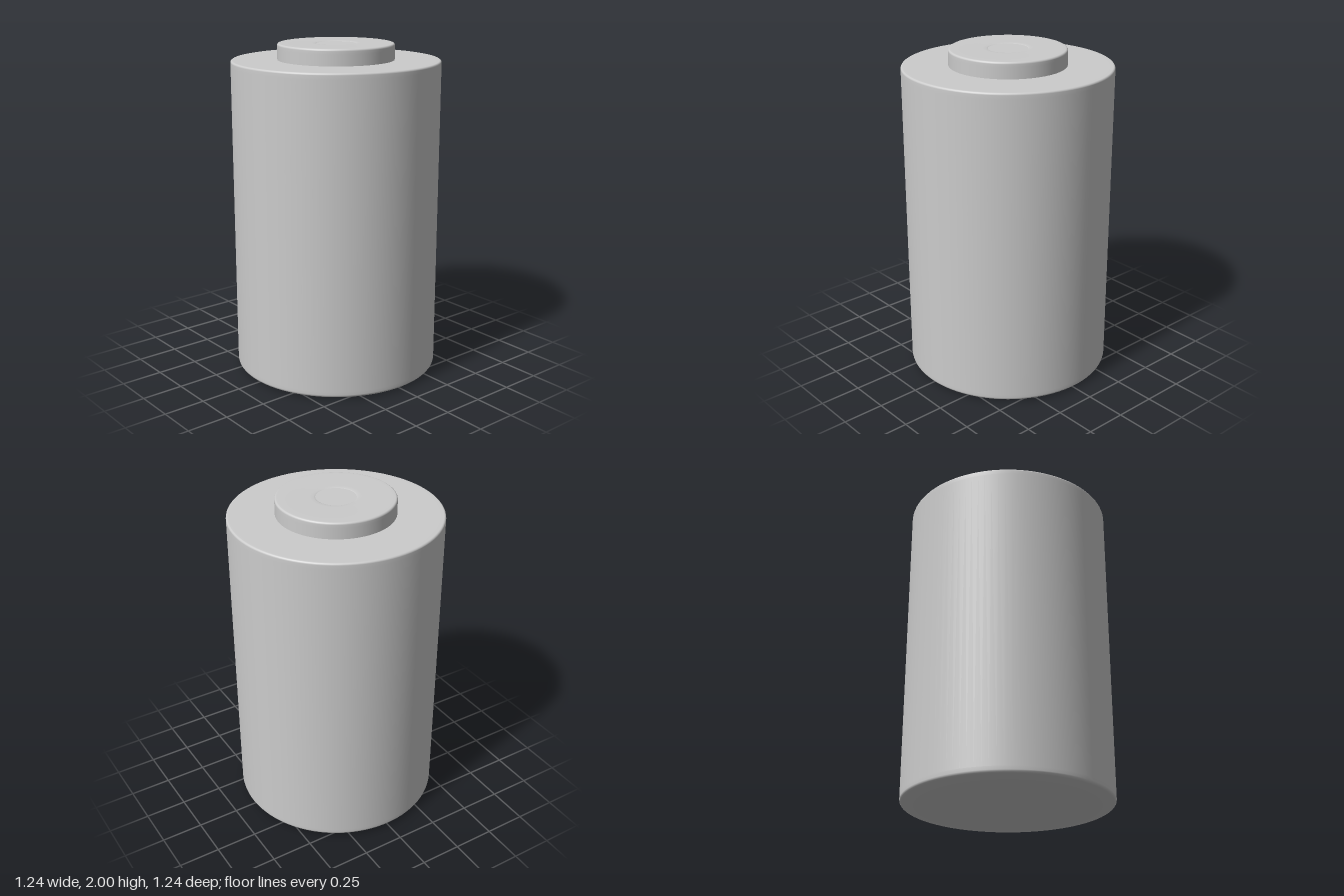
import * as THREE from 'three';

const material = new THREE.MeshStandardMaterial({ color: 0xcccccc });

// Surface of revolution from [radius, height] pairs, listed from bottom to top
function turned(name, profile) {
  const points = profile.map(([r, y]) => new THREE.Vector2(r, y));
  const mesh = new THREE.Mesh(new THREE.LatheGeometry(points, 96), material);
  mesh.name = name;
  return mesh;
}

// Points of a quarter-round edge, from angle a to b, around a centre
function rounded(r, y, radius, a, b, steps = 4) {
  return Array.from({ length: steps + 1 }, (_, i) => {
    const t = a + ((b - a) * i) / steps;
    return [r + radius * Math.cos(t), y + radius * Math.sin(t)];
  });
}

export function createModel() {
  const group = new THREE.Group();
  group.name = 'battery';
  const q = Math.PI / 2;

  // Flat negative contact under the casing
  group.add(turned('bottomContact', [[0, 0], [0.54, 0], [0.545, 0.001]]));

  // Cylindrical casing with softened rims
  group.add(turned('casing', [
    [0.545, 0.001], [0.57, 0.006],
    ...rounded(0.604, 0.03, 0.018, -q, 0),
    [0.622, 0.05], [0.622, 1.87],
    ...rounded(0.61, 1.892, 0.012, 0, q),
    [0.59, 1.904], [0.36, 1.904], [0.33, 1.904],
  ]));

  // Raised positive terminal
  group.add(turned('topTerminal', [
    [0.347, 1.9], [0.347, 1.97],
    ...rounded(0.335, 1.988, 0.012, 0, q),
    [0.32, 2], [0.15, 2], [0.125, 1.999], [0.117, 1.996],
  ]));

  // Small centre disc of the terminal
  group.add(turned('terminalCentre', [[0.118, 1.996], [0.06, 1.996], [0, 1.996]]));

  return group;
}
